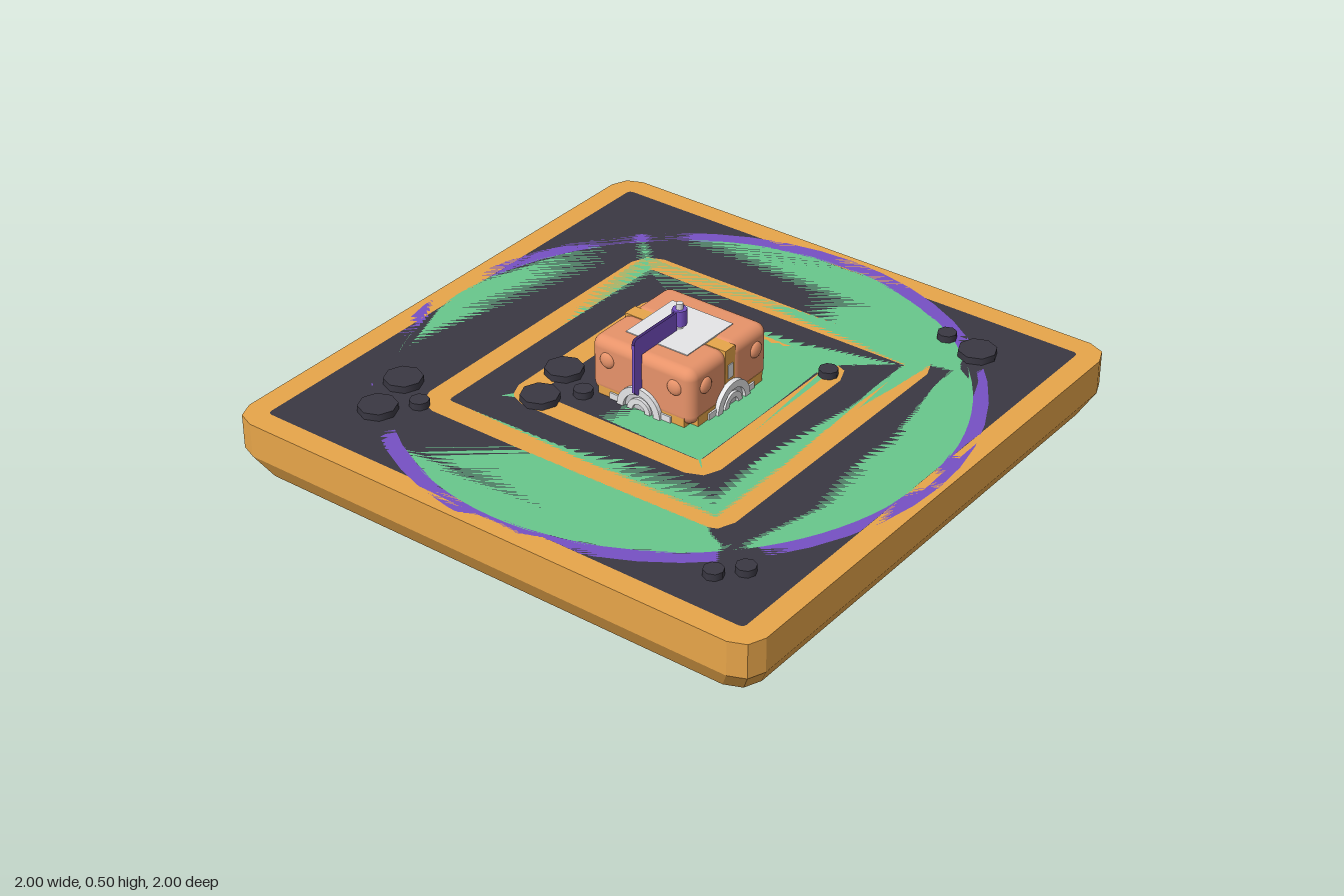
import * as THREE from 'three';
import { RoundedBoxGeometry } from 'three/addons/geometries/RoundedBoxGeometry.js';

const TOP = 0.2;

// Corner points of a square with rounded corners, counter-clockwise
function squarePoints(half, r, steps = 2) {
  const pts = [];
  for (let c = 0; c < 4; c++) {
    const mid = Math.PI / 4 + c * Math.PI / 2;
    const cx = Math.sign(Math.cos(mid)) * (half - r), cy = Math.sign(Math.sin(mid)) * (half - r);
    for (let i = 0; i <= steps; i++) {
      const a = (c + i / steps) * Math.PI / 2;
      pts.push(new THREE.Vector2(cx + r * Math.cos(a), cy + r * Math.sin(a)));
    }
  }
  return pts;
}

// Side walls joining a stack of [half, radius, y] squares
function wallGeometry(levels) {
  const pos = [];
  for (let l = 0; l + 1 < levels.length; l++) {
    const [a, b] = [levels[l], levels[l + 1]].map(([h, r, y]) =>
      squarePoints(h, r).map(p => [p.x, y, -p.y]));
    a.forEach((p, i) => {
      const j = (i + 1) % a.length;
      pos.push(...p, ...a[j], ...b[j], ...p, ...b[j], ...b[i]);
    });
  }
  const g = new THREE.BufferGeometry();
  g.setAttribute('position', new THREE.Float32BufferAttribute(pos, 3));
  g.computeVertexNormals();
  return g;
}

// Flat disc made of large facets
function discGeometry(r) {
  return new THREE.ShapeGeometry(new THREE.Shape().absarc(0, 0, r, 0, Math.PI * 2, false), 48);
}

export function createModel() {
  const model = new THREE.Group();
  const material = (name, color, side = THREE.FrontSide) => {
    const m = new THREE.MeshStandardMaterial({ color, side });
    m.name = name;
    return m;
  };
  const ochre = material('ochre', 0xe8a64a);
  const dark = material('charcoal', 0x3a3843);
  const green = material('green', 0x68c78c);
  const purple = material('purple', 0x7650c4);
  const cloth = material('banner purple', 0x7650c4, THREE.DoubleSide);
  const copper = material('copper', 0xec966c);
  const pale = material('pale grey', 0xececee);
  const grey = material('mid grey', 0xc8c8cc);

  const add = (name, geometry, mat, x = 0, y = 0, z = 0, parent = model) => {
    const mesh = new THREE.Mesh(geometry, mat);
    mesh.name = name;
    mesh.position.set(x, y, z);
    parent.add(mesh);
    return mesh;
  };
  const box = (w, h, d) => new THREE.BoxGeometry(w, h, d);

  // Base slab with a bevelled lower edge
  add('baseWall', wallGeometry([[0.955, 0.08, 0], [1, 0.08, 0.08], [1, 0.08, TOP]]), ochre);
  add('baseUnderside', new THREE.ShapeGeometry(new THREE.Shape(squarePoints(0.955, 0.08)))
    .rotateX(Math.PI / 2), ochre);

  // Floor: concentric bands of alternating colour
  const bands = [[1, 0.08], [0.92, 0.015], [0.6, 0.08], [0.52, 0.015], [0.4, 0.08], [0.32, 0.015]];
  bands.forEach(([half, r], i) => {
    const shape = new THREE.Shape(squarePoints(half, r));
    const next = bands[i + 1];
    if (next) shape.holes.push(new THREE.Path(squarePoints(...next).reverse()));
    add(i % 2 ? 'floorPanel' : 'floorBorder',
      new THREE.ShapeGeometry(shape).rotateX(-Math.PI / 2), i % 2 ? dark : ochre, 0, TOP, 0);
  });

  // Inlaid discs, flush with the floor and underside
  add('inlayDisc', discGeometry(0.93).rotateX(-Math.PI / 2), green, 0, TOP, 0);
  add('inlayRim', new THREE.RingGeometry(0.925, 0.98, 48).rotateX(-Math.PI / 2), purple, 0, TOP, 0);
  add('inlayUnderside', discGeometry(0.95).rotateX(Math.PI / 2), purple);

  // Flat stones scattered on the floor
  const big = 0.065, small = 0.033;
  const stones = [
    [0.53, -0.745, small], [0.665, -0.715, big], [0.35, -0.325, small], [-0.33, 0.175, big],
    [-0.2, 0.24, small], [-0.29, 0.345, big], [-0.7, 0.53, big], [-0.655, 0.7, big],
    [-0.57, 0.6, small], [0.77, 0.7, small], [0.705, 0.77, small],
  ];
  for (const [x, z, r] of stones) {
    add('stone', new THREE.CylinderGeometry(r, r, 0.024, 8), dark, x, TOP + 0.012, z);
  }

  // Central machine: copper shells with an ochre band over the middle
  const machine = new THREE.Group();
  machine.name = 'machine';
  model.add(machine);
  for (const s of [-1, 1]) {
    add('shell', new RoundedBoxGeometry(0.4, 0.2, 0.194, 4, 0.035), copper, 0, 0.303, s * 0.105, machine);
  }
  add('band', box(0.396, 0.2, 0.052), ochre, 0, 0.301, 0, machine);
  add('topPanel', box(0.24, 0.008, 0.24), pale, 0, 0.402, 0, machine);

  // Half ring standing on the floor
  const arch = (outer, inner, depth) => {
    const s = new THREE.Shape();
    s.absarc(0, 0, outer, 0, Math.PI, false);
    s.absarc(0, 0, inner, Math.PI, 0, true);
    return new THREE.ExtrudeGeometry(s, { depth, bevelEnabled: false, curveSegments: 8 });
  };
  // The same fittings on all four sides
  for (let i = 0; i < 4; i++) {
    const side = new THREE.Group();
    side.name = 'sideFittings';
    side.rotation.y = i * Math.PI / 2;
    machine.add(side);
    add('archFrame', arch(0.085, 0.06, 0.03), pale, 0, TOP, 0.186, side);
    add('archBack', arch(0.06, 0.002, 0.018), grey, 0, TOP, 0.186, side);
    add('archHub', arch(0.045, 0.025, 0.028), pale, 0, TOP, 0.186, side);
    add('sill', box(0.34, 0.035, 0.03), ochre, 0, TOP + 0.0175, 0.186, side);
    for (const s of [-1, 1]) {
      add('foot', box(0.04, 0.022, 0.03), pale, s * 0.1, TOP + 0.011, 0.192, side);
      add('rivet', new THREE.SphereGeometry(0.028, 14, 10).scale(1, 1, 0.5), copper, s * 0.132, 0.333, 0.2, side);
    }
    if (i % 2) add('sideClip', box(0.025, 0.05, 0.012), pale, 0, 0.32, 0.195, side);
  }

  // Mast with a collar
  add('mast', new THREE.CylinderGeometry(0.012, 0.012, 0.095, 8), pale, 0, 0.4475, 0, machine);
  add('collar', new THREE.CylinderGeometry(0.025, 0.025, 0.055, 8), purple, 0, 0.447, 0, machine);

  // Flat banner hanging over the front, with a narrow front edge
  const banner = new THREE.Shape();
  banner.moveTo(0.02, 0.405);
  banner.lineTo(0.02, 0.472);
  banner.lineTo(0.22, 0.472);
  banner.quadraticCurveTo(0.238, 0.472, 0.238, 0.454);
  banner.lineTo(0.238, 0.28);
  banner.lineTo(0.222, 0.265);
  banner.lineTo(0.2, 0.28);
  banner.lineTo(0.2, 0.405);
  for (const x of [-0.005, 0.005]) {
    add('banner', new THREE.ShapeGeometry(banner).rotateY(-Math.PI / 2), cloth, x, 0, 0, machine);
  }
  add('bannerEdge', new THREE.PlaneGeometry(0.01, 0.174), cloth, 0, 0.367, 0.238, machine);

  return model;
}
